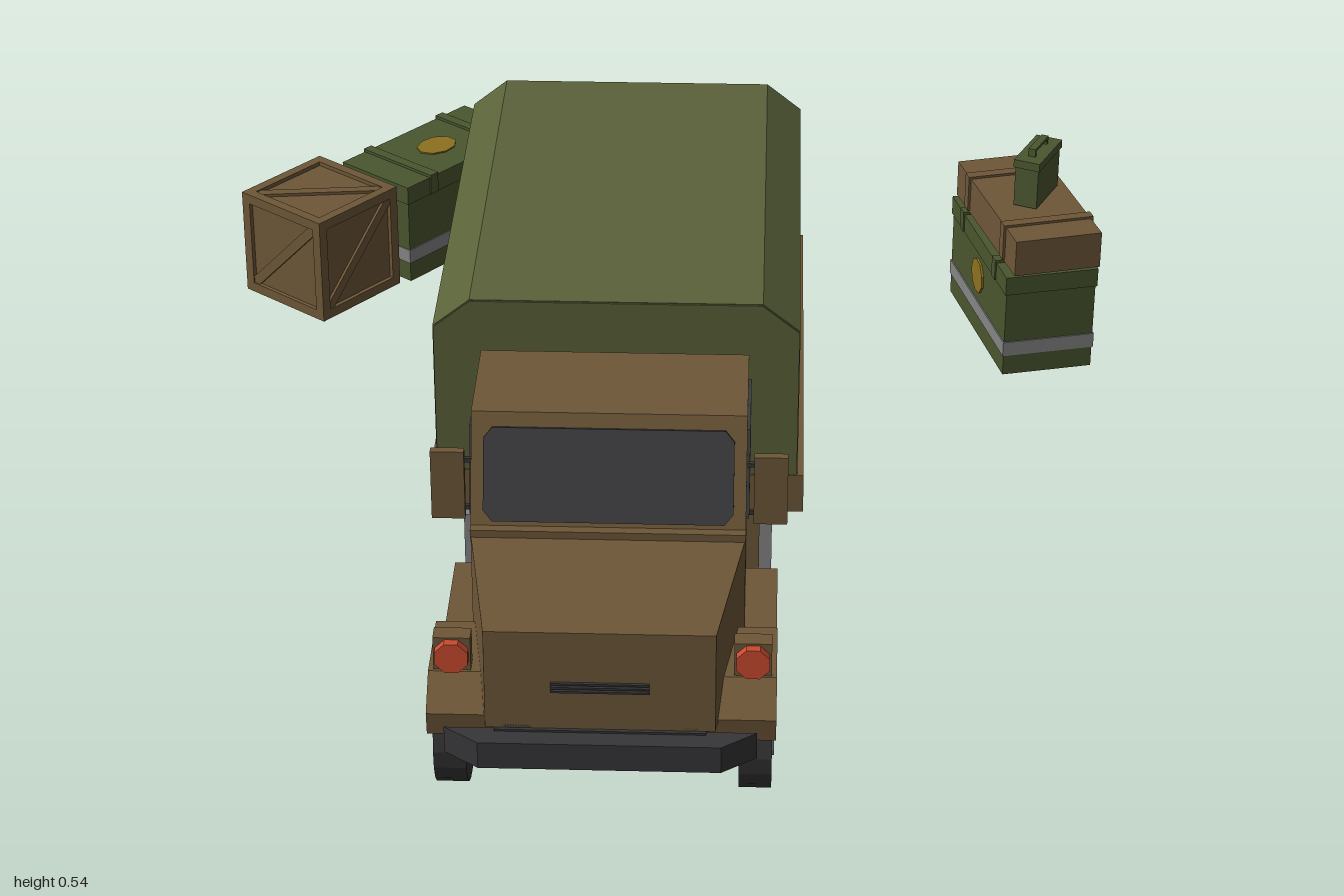
import * as THREE from 'three';

const mat = (name, color) => Object.assign(new THREE.MeshStandardMaterial({ color, flatShading: true }), { name });
const M = {
  brown: mat('brown paint', 0x6e5738),
  canvas: mat('olive canvas', 0x5a6239),
  green: mat('crate green', 0x4a562f),
  dark: mat('dark rubber and steel', 0x363638),
  glass: mat('dark glass', 0x3d3d40),
  gray: mat('light gray metal', 0x858585),
  red: mat('red lamp', 0xcb4a30),
  gold: mat('gold marking', 0x8c711f),
};

function add(parent, name, geo, material, x = 0, y = 0, z = 0) {
  const m = new THREE.Mesh(geo, material);
  m.name = name;
  m.position.set(x, y, z);
  parent.add(m);
  return m;
}
const box = (p, name, material, w, h, d, x, y, z) =>
  add(p, name, new THREE.BoxGeometry(w, h, d), material, x, y, z);

function group(parent, name, x = 0, y = 0, z = 0, yaw = 0) {
  const g = new THREE.Group();
  g.name = name;
  g.position.set(x, y, z);
  g.rotation.y = yaw;
  parent.add(g);
  return g;
}
const shape = pts => new THREE.Shape(pts.map(p => new THREE.Vector2(...p)));
const extrude = (s, depth) => new THREE.ExtrudeGeometry(s, { depth, bevelEnabled: false });
// side profile given as (z, y), extruded across x and centred
const sideProfile = (pts, w) => extrude(shape(pts), w).rotateY(-Math.PI / 2).translate(w / 2, 0, 0);

// box whose front (+z) end is narrowed
function taperedBox(w, wFront, h, d) {
  const g = new THREE.BoxGeometry(w, h, d), p = g.attributes.position;
  for (let i = 0; i < p.count; i++) if (p.getZ(i) > 0) p.setX(i, p.getX(i) * wFront / w);
  g.computeVertexNormals();
  return g;
}

function buildCab(truck) {
  const cab = group(truck, 'cab');
  add(cab, 'cabBody', sideProfile([[0.725, 0.105], [0.725, 0.325], [0.67, 0.485], [0.5, 0.485], [0.5, 0.105]], 0.374), M.brown);
  box(cab, 'cabBackPanel', M.brown, 0.34, 0.28, 0.04, 0, 0.3, 0.485);
  add(cab, 'hood', taperedBox(0.374, 0.304, 0.15, 0.24), M.brown, 0, 0.25, 0.845);
  box(cab, 'cowl', M.brown, 0.374, 0.012, 0.02, 0, 0.33, 0.725);
  for (let i = 0; i < 3; i++) box(cab, 'grilleBar', M.dark, 0.13, 0.003, 0.006, 0, 0.235 + i * 0.006, 0.966);

  // windscreen and door windows
  const glass = add(cab, 'windscreen', extrude(shape([[-0.158, -0.065], [0.158, -0.065], [0.17, -0.05],
    [0.17, 0.05], [0.158, 0.065], [-0.158, 0.065], [-0.17, 0.05], [-0.17, -0.05]]), 0.006), M.glass, 0, 0.404, 0.698);
  glass.rotation.x = -Math.atan2(0.055, 0.16);
  add(cab, 'doorWindows', sideProfile([[0.69, 0.335], [0.655, 0.455], [0.515, 0.455], [0.515, 0.335]], 0.382), M.glass);

  const fender = [[0.94, 0.145], [0.945, 0.18], [0.9, 0.218], [0.78, 0.218], [0.715, 0.17], [0.67, 0.135], [0.5, 0.135],
    [0.5, 0.105], [0.69, 0.105], [0.73, 0.14], [0.785, 0.194], [0.885, 0.194], [0.92, 0.145]];
  for (const s of [-1, 1]) {
    add(cab, 'fender', sideProfile(fender, 0.09), M.brown, s * 0.187, 0, 0);
    // lamp
    box(cab, 'lampStem', M.brown, 0.02, 0.05, 0.02, s * 0.2, 0.22, 0.89);
    box(cab, 'lampHousing', M.brown, 0.05, 0.05, 0.025, s * 0.2, 0.244, 0.885);
    add(cab, 'lamp', new THREE.CylinderGeometry(0.024, 0.024, 0.016, 8).rotateY(Math.PI / 8).rotateX(Math.PI / 2), M.red, s * 0.2, 0.244, 0.902);
    // mirror
    box(cab, 'mirrorCase', M.brown, 0.046, 0.105, 0.012, s * 0.22, 0.378, 0.682);
    box(cab, 'mirrorGlass', M.gray, 0.038, 0.095, 0.004, s * 0.22, 0.378, 0.675);
    for (const y of [0.34, 0.415]) box(cab, 'mirrorArm', M.dark, 0.03, 0.006, 0.006, s * 0.197, y, 0.68);
  }
  add(cab, 'frontBumper', taperedBox(0.414, 0.32, 0.04, 0.035), M.dark, 0, 0.152, 0.98);
  box(cab, 'bumperMount', M.dark, 0.28, 0.05, 0.06, 0, 0.15, 0.94);
}

function buildBed(truck) {
  const bed = group(truck, 'cargoBed');
  box(bed, 'floor', M.brown, 0.534, 0.015, 0.755, 0, 0.2175, 0.0875);
  for (const s of [-1, 1]) {
    box(bed, 'sideBoard', M.brown, 0.015, 0.06, 0.755, s * 0.2595, 0.24, 0.0875);
    box(bed, 'bench', M.brown, 0.09, 0.012, 0.7, s * 0.2, 0.27, 0.095);
    box(bed, 'endBoard', M.brown, 0.504, 0.06, 0.015, 0, 0.24, s > 0 ? 0.4575 : -0.2825);
  }
  // canvas cover: open arch with a closed front
  const arch = (w, top, c) => [[-w, 0.265], [w, 0.265], [w, top - c], [w - c * 1.25, top], [c * 1.25 - w, top], [-w, top - c]];
  const cover = shape(arch(0.258, 0.543, 0.042));
  cover.holes.push(new THREE.Path(arch(0.244, 0.528, 0.038).map(p => new THREE.Vector2(...p)).map(v => (v.y === 0.265 ? v.setY(0.266) : v))));
  add(bed, 'canvasCover', extrude(cover, 0.735), M.canvas, 0, 0, -0.275);
  add(bed, 'canvasFront', extrude(shape(arch(0.257, 0.542, 0.042)), 0.008), M.canvas, 0, 0, 0.455);
}

function buildChassis(truck) {
  const ch = group(truck, 'chassis');
  box(ch, 'rearBumper', M.dark, 0.47, 0.06, 0.03, 0, 0.14, -0.305);
  box(ch, 'underTray', M.brown, 0.41, 0.125, 0.215, 0, 0.1475, 0.3525);
  box(ch, 'cabUnderTray', M.brown, 0.37, 0.06, 0.06, 0, 0.14, 0.48);
  for (const s of [-1, 1]) {
    box(ch, 'frameRail', M.dark, 0.035, 0.06, 0.55, s * 0.11, 0.18, -0.02);
    box(ch, 'frontRail', M.dark, 0.035, 0.05, 0.25, s * 0.11, 0.155, 0.84);
    for (const z of [0.43, 0.285]) box(ch, 'strap', M.gray, 0.02, 0.11, 0.024, s * 0.213, 0.125, z);
  }
  // wheels
  for (const z of [0.83, 0.115, -0.107]) {
    box(ch, 'axle', M.dark, 0.38, 0.03, 0.03, 0, 0.1, z);
    for (const s of [-1, 1]) {
      const wheel = group(ch, 'wheel', s * 0.205, 0.1, z);
      add(wheel, 'tire', new THREE.CylinderGeometry(0.09, 0.09, 0.044, 20).rotateZ(Math.PI / 2), M.dark);
      add(wheel, 'hub', new THREE.CylinderGeometry(0.047, 0.047, 0.05, 16).rotateZ(Math.PI / 2), M.gray);
    }
  }
}

// raised bands across a long crate
function bands(c, material, w, h, d) {
  for (const s of [-1, 1]) box(c, 'band', material, w + 0.008, h, 0.018, 0, h / 2 + 0.004, s * d * 0.3);
}

function greenCrate(root, x, z, yaw, topMark) {
  const c = group(root, 'greenCrate', x, 0.005, z, yaw), w = 0.152, d = 0.302;
  box(c, 'crateBody', M.green, w, 0.15, d, 0, 0.075, 0);
  box(c, 'crateLid', M.green, w + 0.005, 0.032, d + 0.005, 0, 0.165, 0);
  box(c, 'stripe', M.gray, w + 0.004, 0.025, d + 0.004, 0, 0.048, 0);
  for (const s of [-1, 1]) box(c, 'lidBand', M.green, w + 0.01, 0.036, 0.018, 0, 0.168, s * 0.09);
  box(c, 'sidePlate', M.gray, 0.006, 0.026, 0.2, -w / 2 - 0.002, 0.162, 0);
  const disc = () => new THREE.CylinderGeometry(0.03, 0.03, 0.005, 9);
  add(c, 'sideMark', disc().rotateZ(Math.PI / 2), M.gold, w / 2 + 0.001, 0.108, 0);
  if (topMark) add(c, 'topMark', disc().scale(1, 1, 1.3), M.gold, 0, 0.181, 0);
}

function flatCrate(root, x, y, z, yaw) {
  const c = group(root, 'flatCrate', x, y, z, yaw);
  box(c, 'crateBody', M.brown, 0.146, 0.062, 0.308, 0, 0.031, 0);
  bands(c, M.brown, 0.146, 0.062, 0.308);
}

function smallCan(root, x, y, z, yaw) {
  const c = group(root, 'smallCan', x, y, z, yaw);
  box(c, 'canBody', M.green, 0.04, 0.07, 0.1, 0, 0.035, 0);
  box(c, 'canLid', M.green, 0.045, 0.014, 0.105, 0, 0.076, 0);
  box(c, 'handle', M.green, 0.012, 0.005, 0.06, 0, 0.094, 0);
  for (const s of [-1, 1]) box(c, 'handleEnd', M.green, 0.012, 0.012, 0.006, 0, 0.088, s * 0.027);
}

// cube crate: recessed panels, edge boards and a diagonal on each face
function cubeCrate(root, x, z, yaw) {
  const c = group(root, 'cubeCrate', x, 0.097, z, yaw), S = 0.186, t = 0.017, o = (S - t) / 2;
  box(c, 'panels', M.brown, S - 0.014, S - 0.014, S - 0.014, 0, 0, 0);
  for (const a of [-o, o]) for (const b of [-o, o]) {
    box(c, 'edgeBoard', M.brown, S, t, t, 0, a, b);
    box(c, 'edgeBoard', M.brown, t, S, t, a, 0, b);
    box(c, 'edgeBoard', M.brown, t, t, S, a, b, 0);
  }
  for (const [rx, ry] of [[0, 0], [0, 1], [0, 2], [0, 3], [-1, 0], [1, 0]]) {
    const f = group(c, 'crateFace');
    f.rotation.set(rx * Math.PI / 2, ry * Math.PI / 2, 0);
    box(f, 'diagonal', M.brown, 0.215, t, 0.006, 0, 0, S / 2 - 0.005).rotation.z = Math.PI / 4;
  }
}

export function createModel() {
  const root = new THREE.Group();
  root.name = 'truckWithSupplies';
  const truck = group(root, 'truck', -0.036);
  buildCab(truck);
  buildBed(truck);
  buildChassis(truck);

  // stack beside the truck
  greenCrate(root, 0.602, -0.48, 0.25 + Math.PI, false);
  flatCrate(root, 0.606, 0.192, -0.476, 0.27);
  smallCan(root, 0.617, 0.258, -0.475, -0.42);

  // row behind the truck
  cubeCrate(root, -0.592, -0.589, -0.67);
  greenCrate(root, -0.408, -0.775, -0.675, true);
  flatCrate(root, -0.168, 0.005, -0.83, -0.29);
  smallCan(root, -0.172, 0.07, -0.836, -0.9);
  return root;
}
